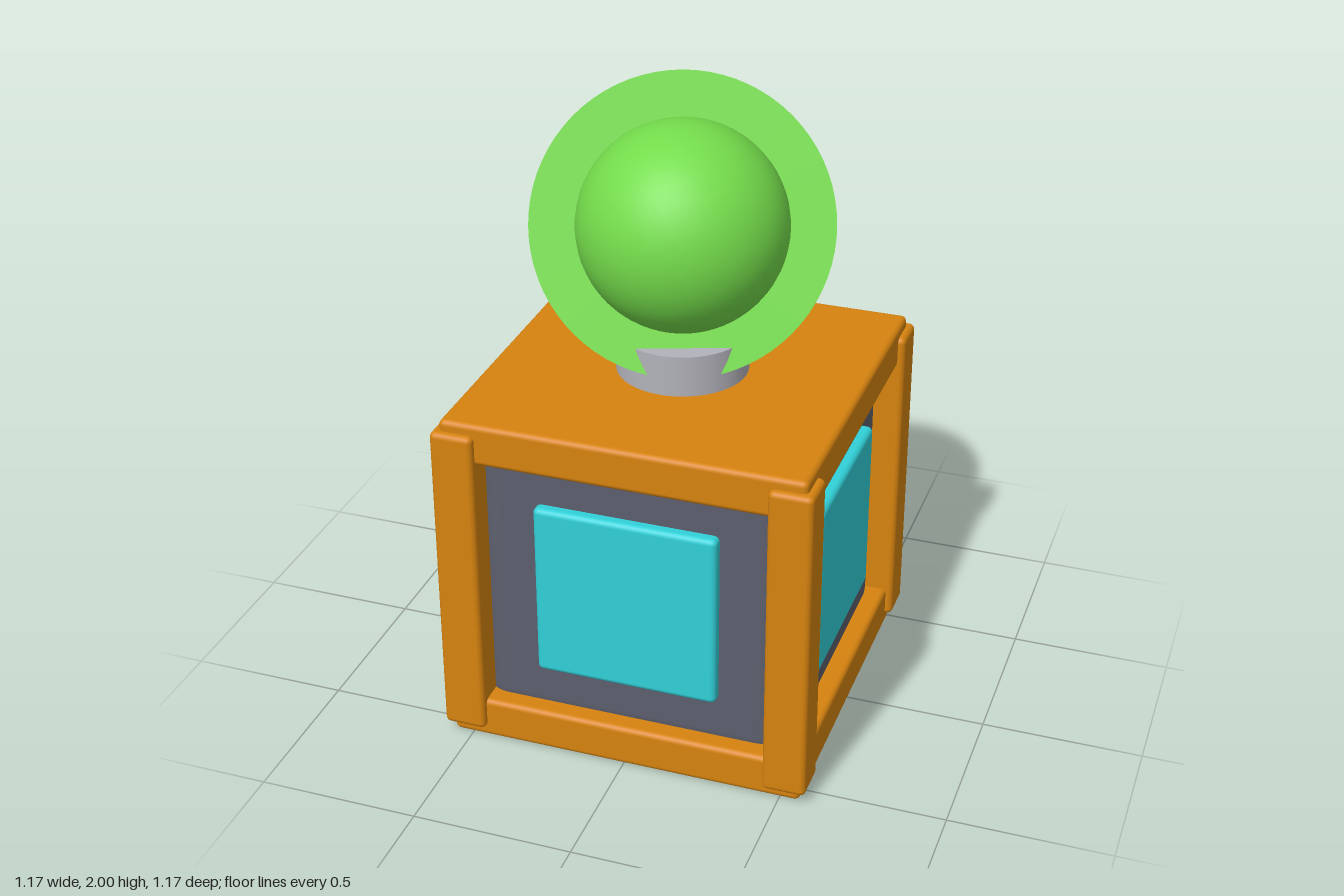
import * as THREE from 'three';
import { RoundedBoxGeometry } from 'three/addons/geometries/RoundedBoxGeometry.js';

const paint = (name, color) => {
  const m = new THREE.MeshStandardMaterial({ color });
  m.name = name;
  return m;
};

export function createModel() {
  const orange = paint('orange frame', 0xd6830f);
  const slate = paint('slate grey', 0x5d5f6e);
  const cyan = paint('cyan panel', 0x31d0d8);
  const grey = paint('light grey', 0xb2b2ba);
  const green = paint('planet green', 0x74dc4b);

  const model = new THREE.Group();
  model.name = 'planetTopperCrate';
  const add = (name, geometry, material, x, y, z) => {
    const mesh = new THREE.Mesh(geometry, material);
    mesh.name = name;
    mesh.position.set(x, y, z);
    model.add(mesh);
    return mesh;
  };

  const mid = 0.553; // height of the crate's centre

  // Crate body with soft edges
  add('core', new RoundedBoxGeometry(1, 1, 1, 5, 0.1), slate, 0, mid, 0);

  // Top and bottom slabs
  const slab = new RoundedBoxGeometry(1.124, 0.134, 1.124, 3, 0.018);
  add('bottomSlab', slab, orange, 0, 0.067, 0);
  add('topSlab', slab, orange, 0, 1.038, 0);

  // Corner posts
  const post = new RoundedBoxGeometry(0.135, 1.035, 0.135, 3, 0.018);
  for (const x of [-1, 1]) {
    for (const z of [-1, 1]) add('cornerPost', post, orange, x * 0.517, mid, z * 0.517);
  }

  // One raised panel on each side
  const panel = new RoundedBoxGeometry(0.572, 0.572, 0.08, 3, 0.018);
  for (let i = 0; i < 4; i++) {
    const a = i * Math.PI / 2;
    const mesh = add('sidePanel', panel, cyan, Math.sin(a) * 0.495, mid + 0.003, Math.cos(a) * 0.495);
    mesh.rotation.y = a;
  }

  // Pedestal
  add('pedestal', new THREE.CylinderGeometry(0.203, 0.203, 0.16, 48), grey, 0, 1.155, 0);

  // Planet with a tilted flat ring
  add('planet', new THREE.SphereGeometry(0.319, 48, 32), green, 0, 1.569, 0);
  const ring = add('planetRing', new THREE.CylinderGeometry(0.455, 0.455, 0.022, 72), green, 0, 1.569, 0);
  ring.quaternion.setFromUnitVectors(
    new THREE.Vector3(0, 1, 0),
    new THREE.Vector3(0.323, 0.364, 0.873).normalize(),
  );

  return model;
}
